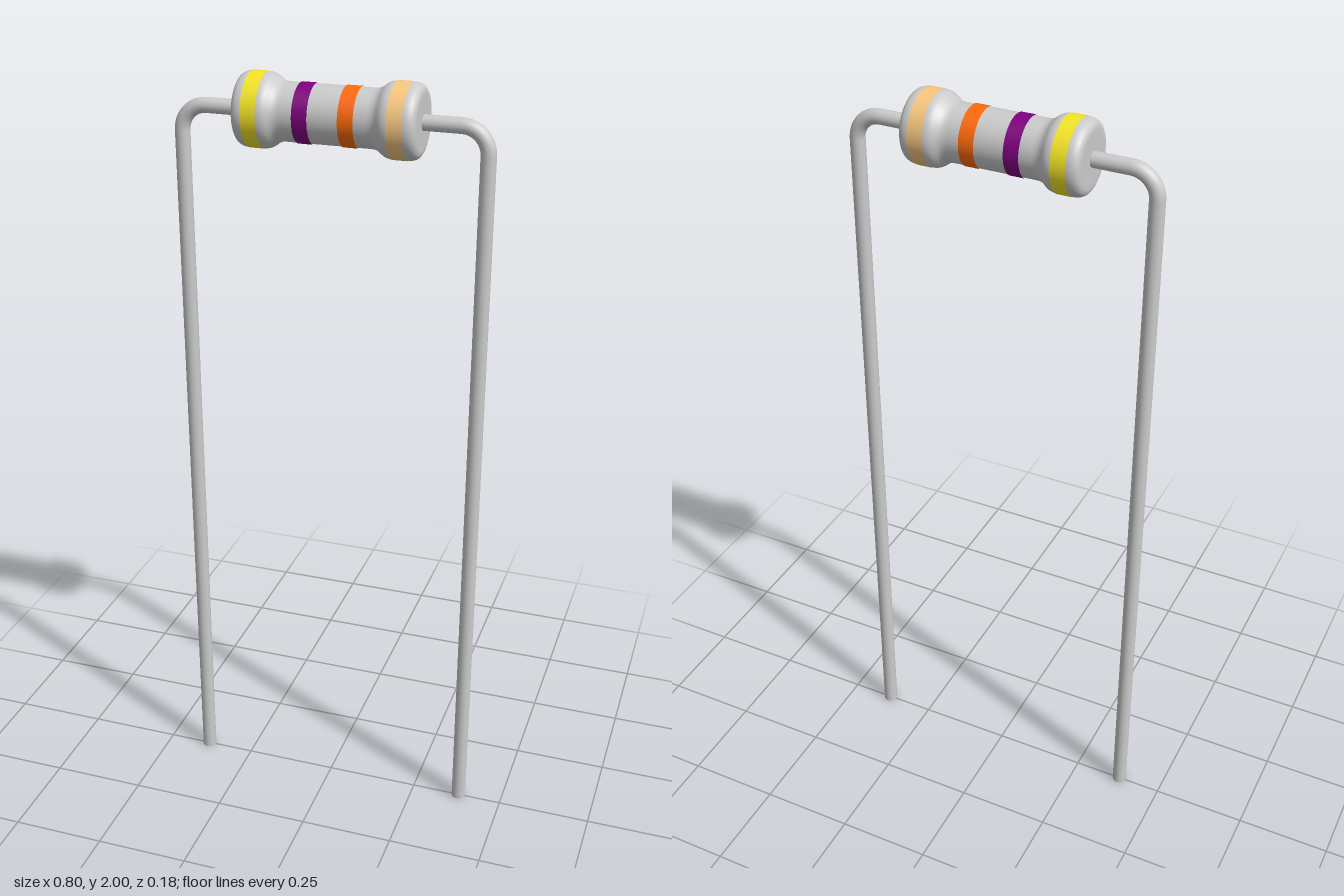
import * as THREE from 'three';

const AXIS_Y = 1.91;   // height of the body axis
const WIRE_R = 0.019;
const LEG_X = 0.381;
const BEND = 0.065;    // centreline radius of the wire bends

const material = (color) => new THREE.MeshStandardMaterial({ color });

function addMesh(parent, name, geometry, mat) {
  const mesh = new THREE.Mesh(geometry, mat);
  mesh.name = name;
  parent.add(mesh);
  return mesh;
}

// Half of the body outline, from the middle to the end: (radius, distance along axis)
function halfProfile() {
  const path = new THREE.Path();
  path.moveTo(0.07, 0);
  path.lineTo(0.07, 0.105);
  path.bezierCurveTo(0.07, 0.135, 0.09, 0.13, 0.09, 0.16);
  path.lineTo(0.09, 0.195);
  path.quadraticCurveTo(0.09, 0.225, 0.065, 0.225);
  path.lineTo(0, 0.225);
  return path.getPoints(10);
}

// Lead: stub out of the body, rounded bend, long straight leg
function createLead(name, mat) {
  const lead = new THREE.Group();
  lead.name = name;
  const bendX = LEG_X - BEND, bendY = AXIS_Y - BEND, stubStart = 0.2;

  const stub = addMesh(lead, 'leadStub',
    new THREE.CylinderGeometry(WIRE_R, WIRE_R, bendX - stubStart, 20, 1, true), mat);
  stub.rotation.z = -Math.PI / 2;
  stub.position.set((bendX + stubStart) / 2, AXIS_Y, 0);

  const bend = addMesh(lead, 'leadBend',
    new THREE.TorusGeometry(BEND, WIRE_R, 20, 12, Math.PI / 2), mat);
  bend.position.set(bendX, bendY, 0);

  const leg = addMesh(lead, 'leadLeg',
    new THREE.CylinderGeometry(WIRE_R, WIRE_R, bendY, 20), mat);
  leg.position.set(LEG_X, bendY / 2, 0);
  return lead;
}

export function createModel() {
  const model = new THREE.Group();
  model.name = 'resistor';
  const grey = material(0xcccccc);

  // Body, turned so that its axis runs along x
  const body = new THREE.Group();
  body.name = 'body';
  body.rotation.z = -Math.PI / 2;
  body.position.y = AXIS_Y;
  model.add(body);

  const half = halfProfile();
  const mirrored = half.slice(1).reverse().map((p) => new THREE.Vector2(p.x, -p.y));
  addMesh(body, 'bodyShell', new THREE.LatheGeometry([...mirrored, ...half], 48), grey);

  // Colour bands: name, centre along the axis, radius, colour
  const bands = [
    ['yellowBand', -0.177, 0.0907, 0xf5e626],
    ['violetBand', -0.056, 0.0718, 0x800080],
    ['orangeBand', 0.056, 0.0718, 0xff6a0a],
    ['tanBand', 0.177, 0.0907, 0xf8c880],
  ];
  for (const [name, along, radius, color] of bands) {
    const band = addMesh(body, name,
      new THREE.CylinderGeometry(radius, radius, 0.038, 48, 1, true), material(color));
    band.position.y = along;
  }

  // Matching leads on both sides
  const left = createLead('leftLead', grey);
  const right = createLead('rightLead', grey);
  right.rotation.y = Math.PI;
  model.add(left, right);
  return model;
}
